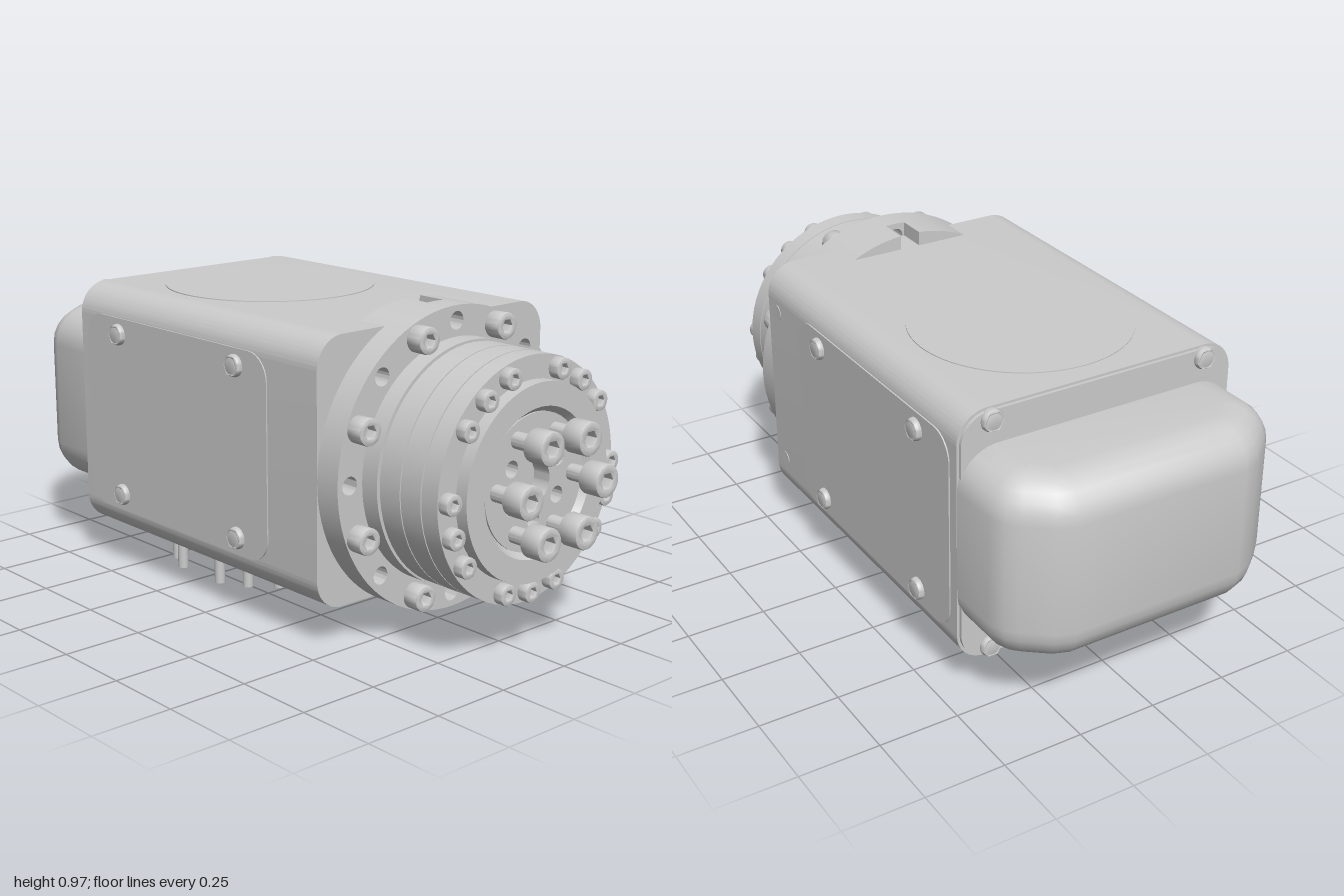
import * as THREE from 'three';
import { mergeGeometries, toCreasedNormals } from 'three/addons/utils/BufferGeometryUtils.js';

const CY = 0.51; // height of the drive axis
const material = new THREE.MeshStandardMaterial({ color: 0xcccccc });
const smooth = (g) => toCreasedNormals(g, 0.6);

function add(parent, name, geometry) {
  const mesh = new THREE.Mesh(geometry, material);
  mesh.name = name;
  parent.add(mesh);
  return mesh;
}

function circle(r, x = 0, y = 0, Type = THREE.Path) {
  return new Type().absarc(x, y, r, 0, Math.PI * 2, false);
}

function roundedRect(w, h, r) {
  const s = new THREE.Shape(), x = w / 2 - r, y = h / 2 - r;
  s.absarc(x, y, r, 0, Math.PI / 2);
  s.absarc(-x, y, r, Math.PI / 2, Math.PI);
  s.absarc(-x, -y, r, Math.PI, Math.PI * 1.5);
  s.absarc(x, -y, r, Math.PI * 1.5, Math.PI * 2);
  return s;
}

function extrude(shape, depth, segments = 12) {
  return new THREE.ExtrudeGeometry(shape, { depth, bevelEnabled: false, curveSegments: segments });
}

// Extrude a (z, y) section along x between two stations
function alongX(shape, x0, x1, segments = 12) {
  return smooth(extrude(shape, x1 - x0, segments).rotateY(Math.PI / 2).translate(x0, 0, 0));
}

// Socket head screw standing on z = 0, pointing to +z
function screwGeometry(r, h, bevel, shank = 0) {
  const head = circle(r, 0, 0, THREE.Shape);
  const hex = [...Array(6)].map((_, i) =>
    new THREE.Vector2(Math.cos(i * Math.PI / 3), Math.sin(i * Math.PI / 3)).multiplyScalar(r * 0.5));
  head.holes.push(new THREE.Path(hex));
  const shell = new THREE.ExtrudeGeometry(head, {
    depth: h - bevel, bevelThickness: bevel, bevelSize: bevel, bevelOffset: -bevel,
    bevelSegments: 2, curveSegments: 12,
  });
  const floor = new THREE.CylinderGeometry(r * 0.7, r * 0.7, h * 0.4, 16).toNonIndexed()
    .rotateX(Math.PI / 2).translate(0, 0, h * 0.2);
  const parts = [shell, floor];
  if (shank) {
    parts.push(new THREE.CylinderGeometry(r * 0.5, r * 0.5, shank, 16).toNonIndexed()
      .rotateX(Math.PI / 2).translate(0, 0, -shank / 2));
  }
  return smooth(mergeGeometries(parts));
}

// Screws on a circle around the drive axis, facing +x
function boltCircle(parent, name, geometry, x, radius, degrees) {
  for (const d of degrees) {
    const a = d * Math.PI / 180;
    const bolt = add(parent, name, geometry);
    bolt.rotation.y = Math.PI / 2;
    bolt.position.set(x, CY + radius * Math.sin(a), radius * Math.cos(a));
  }
}

const steps = (n, start = 0) => [...Array(n)].map((_, i) => start + i * 360 / n);

export function createModel() {
  const model = new THREE.Group();

  // Housing
  add(model, 'housing', alongX(roundedRect(0.916, 0.8, 0.095), -0.68, 0.47).translate(0, 0.52, 0));
  add(model, 'backPlate', alongX(roundedRect(0.9, 0.785, 0.09), -0.69, -0.67).translate(0, 0.52, 0));

  // Rear cover: chamfered plan with rounded upper and lower edges
  const half = [[-0.5, 0.457], [-0.84, 0.457], [-0.89, 0.437], [-0.92, 0.407], [-0.98, 0.332], [-1, 0.277]];
  const plan = [...half, ...half.map(([x, z]) => [x, -z]).reverse()].map((p) => new THREE.Vector2(...p));
  const cover = new THREE.ExtrudeGeometry(new THREE.Shape(plan), {
    depth: 0.575 - 0.24, bevelThickness: 0.12, bevelSize: 0.12, bevelOffset: -0.12, bevelSegments: 6,
  });
  add(model, 'rearCover', smooth(cover.rotateX(-Math.PI / 2).translate(0, 0.235 + 0.12, 0)));

  // Side panels with button screws
  const button = screwGeometry(0.034, 0.022, 0.012);
  for (const side of [1, -1]) {
    const group = new THREE.Group();
    group.name = side > 0 ? 'frontPanel' : 'backPanel';
    const panel = add(group, 'panel', smooth(extrude(roundedRect(0.9, 0.63, 0.08), 0.006)));
    panel.position.set(-0.195 * side, 0.522, 0.456);
    for (const x of [-0.47, 0.115]) for (const y of [0.26, 0.785]) {
      add(group, 'panelScrew', button).position.set(x * side, y, 0.459);
    }
    if (side < 0) {
      for (const y of [0.26, 0.785]) {
        add(group, 'plug', new THREE.CylinderGeometry(0.025, 0.025, 0.006, 20).rotateX(Math.PI / 2))
          .position.set(-0.41, y, 0.457);
      }
      group.rotation.y = Math.PI;
    }
    model.add(group);
  }

  // Screws on the rear face
  for (const y of [0.155, 0.885]) for (const z of [-0.355, 0.355]) {
    const screw = add(model, 'rearScrew', button);
    screw.rotation.y = -Math.PI / 2;
    screw.position.set(-0.685, y, z);
  }

  // Round pads on top and underneath, with a ring of pins below
  for (const y of [0.92, 0.12]) {
    add(model, y > 0.5 ? 'topPad' : 'bottomPad', new THREE.CylinderGeometry(0.335, 0.335, 0.006, 64))
      .position.set(-0.28, y, 0);
  }
  const pin = new THREE.CylinderGeometry(0.017, 0.017, 0.13, 16);
  for (let i = 0; i < 20; i++) {
    if (i % 5 === 0) continue;
    const a = i * Math.PI / 10;
    add(model, 'pin', pin).position.set(-0.28 + 0.315 * Math.cos(a), 0.065, 0.315 * Math.sin(a));
  }

  // Mounting flange with open holes
  const flange = circle(0.457, 0, 0, THREE.Shape);
  for (const d of steps(8)) {
    const a = d * Math.PI / 180;
    flange.holes.push(circle(0.027, 0.412 * Math.cos(a), 0.412 * Math.sin(a)));
  }
  add(model, 'flange', alongX(flange, 0.468, 0.555, 48).translate(0, CY, 0));

  // Lugs behind the flange: two above, split by a slot, and stepped ones below
  const arcLug = (z0, z1, base) => {
    const pts = [new THREE.Vector2(z1, base), new THREE.Vector2(z0, base)];
    for (let i = 0; i <= 10; i++) {
      const z = z0 + (z1 - z0) * i / 10;
      pts.push(new THREE.Vector2(z, Math.max(base + 0.001, Math.sqrt(0.457 ** 2 - z * z))));
    }
    return new THREE.Shape(pts.reverse());
  };
  for (const [z0, z1] of [[-0.21, -0.033], [0.033, 0.21]]) {
    add(model, 'topLug', alongX(arcLug(z0, z1, 0.4), 0.37, 0.47).translate(0, CY, 0));
  }
  add(model, 'bottomLug', alongX(arcLug(-0.24, 0.24, 0.38), 0.37, 0.47).rotateX(Math.PI).translate(0, CY, 0));
  add(model, 'bottomStep', new THREE.BoxGeometry(0.13, 0.03, 0.3)).position.set(0.325, 0.115, 0);

  // Gear drum: stacked rings with thin grooves and a recessed end
  const profile = [[0.365, 0.55], [0.365, 0.615], [0.354, 0.615], [0.354, 0.622], [0.36, 0.622]];
  for (const x of [0.7, 0.78]) profile.push([0.36, x], [0.354, x], [0.354, x + 0.004], [0.36, x + 0.004]);
  profile.push([0.36, 0.845], [0.29, 0.845], [0.29, 0.885], [0.22, 0.885], [0.2, 0.86], [0.2, 0.8], [0, 0.8]);
  const drum = new THREE.LatheGeometry(profile.map((p) => new THREE.Vector2(...p)), 72);
  add(model, 'gearDrum', smooth(drum.rotateZ(-Math.PI / 2).translate(0, CY, 0)));

  // Output plate with centre bore and small holes
  const plate = circle(0.202, 0, 0, THREE.Shape);
  plate.holes.push(circle(0.063));
  for (const d of steps(6, 30)) {
    const a = d * Math.PI / 180;
    plate.holes.push(circle(0.025, 0.11 * Math.cos(a), 0.11 * Math.sin(a)));
  }
  add(model, 'outputPlate', alongX(plate, 0.81, 0.868, 24).translate(0, CY, 0));

  // Bolt circles
  boltCircle(model, 'flangeBolt', screwGeometry(0.04, 0.055, 0.005), 0.553, 0.413, steps(8, 22.5));
  const right = [72, 54, 36, 0, -18, -36, -72];
  boltCircle(model, 'ringBolt', screwGeometry(0.031, 0.034, 0.004), 0.843, 0.326,
    [...right, ...right.map((d) => 180 - d), -90]);
  boltCircle(model, 'outputBolt', screwGeometry(0.049, 0.062, 0.005, 0.09), 0.938, 0.157, steps(6));

  return model;
}
